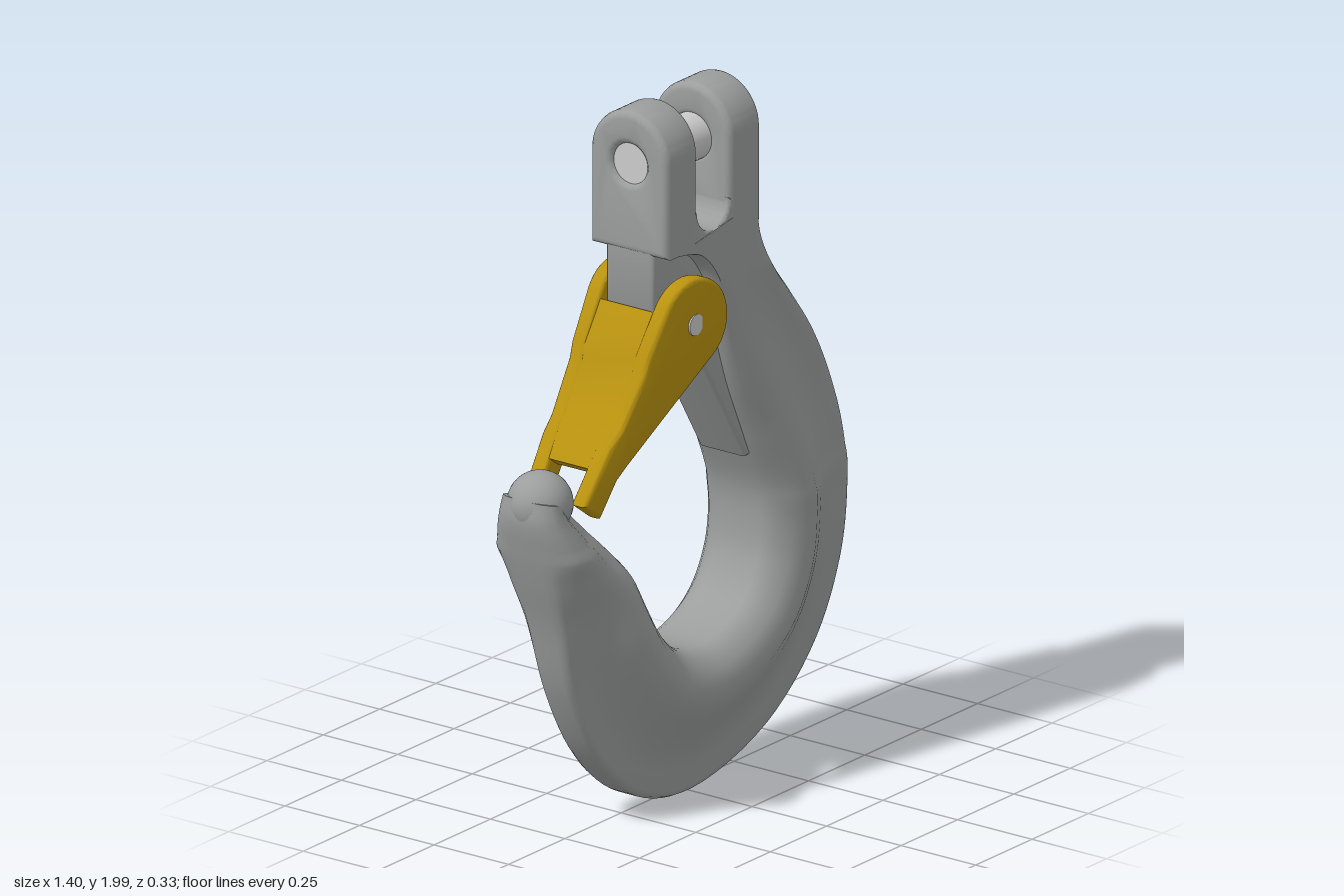
import * as THREE from 'three';
import { toCreasedNormals } from 'three/addons/utils/BufferGeometryUtils.js';

const steel = new THREE.MeshStandardMaterial({ color: 0x9c9e9e });
const pinSteel = new THREE.MeshStandardMaterial({ color: 0xcccccc });
const yellow = new THREE.MeshStandardMaterial({ color: 0xb8920f });

function add(group, name, geometry, material) {
  const mesh = new THREE.Mesh(geometry, material);
  mesh.name = name;
  group.add(mesh);
  return mesh;
}

const shapeOf = (pts) => new THREE.Shape(pts.map(([x, y]) => new THREE.Vector2(x, y)));

// Extrusion centred on z = 0, with rounded edges inside the outline
function slab(shape, thickness, bevel) {
  const g = new THREE.ExtrudeGeometry(shape, {
    depth: thickness - 2 * bevel, bevelEnabled: bevel > 0, bevelThickness: bevel,
    bevelSize: bevel, bevelOffset: -bevel, bevelSegments: 3, curveSegments: 20,
  });
  return g.translate(0, 0, bevel - thickness / 2);
}

// Cross-section half widths, from inner edge to outer edge
const US = [0, 0.015, 0.05, 0.12, 0.22, 0.33, 0.45, 0.57, 0.7, 0.83, 0.95, 0.985, 1];
const PROFILES = [
  [0.8, 0.92, 1, 1, 1, 1, 1, 1, 1, 1, 1, 0.93, 0.8],                              // shank
  [0.45, 0.58, 0.72, 0.88, 1, 0.98, 0.8, 0.6, 0.42, 0.33, 0.31, 0.28, 0.2],       // bowl
  [0.25, 0.3, 0.35, 0.42, 0.55, 0.75, 0.92, 1, 1, 0.95, 0.7, 0.5, 0.3],           // tip
];
// Stations: inner x, y, outer x, y, half thickness, profile (0 shank, 1 bowl, 2 tip)
const STATIONS = [
  [-0.2, 1.60, 0.2, 1.66, 0.13, 0],
  [-0.08, 1.575, 0.21, 1.56, 0.13, 0],
  [0.0, 1.49, 0.26, 1.46, 0.13, 0],
  [0.05, 1.33, 0.36, 1.35, 0.13, 0.2],
  [0.11, 1.15, 0.52, 1.17, 0.14, 0.65],
  [0.19, 0.96, 0.64, 0.97, 0.15, 0.95],
  [0.26, 0.8, 0.69, 0.8, 0.16, 1],
  [0.27, 0.7, 0.7, 0.68, 0.16, 1],
  [0.255, 0.6, 0.67, 0.49, 0.16, 1],
  [0.2, 0.51, 0.56, 0.28, 0.16, 1],
  [0.11, 0.455, 0.34, 0.1, 0.16, 1],
  [0, 0.43, 0, 0.01, 0.16, 1],
  [-0.12, 0.46, -0.22, 0.055, 0.16, 1],
  [-0.2, 0.53, -0.4, 0.2, 0.16, 1],
  [-0.26, 0.62, -0.53, 0.42, 0.16, 1.05],
  [-0.31, 0.73, -0.6, 0.65, 0.155, 1.35],
  [-0.37, 0.8, -0.645, 0.78, 0.15, 1.7],
  [-0.45, 0.88, -0.675, 0.88, 0.13, 2],
  [-0.53, 0.96, -0.695, 0.97, 0.1, 2],
  [-0.56, 1.0, -0.69, 1.03, 0.085, 2],
];

function hookGeometry() {
  const curve = (f) => new THREE.CatmullRomCurve3(STATIONS.map((s) => new THREE.Vector3(...f(s))));
  const inner = curve((s) => [s[0], s[1], 0]);
  const outer = curve((s) => [s[2], s[3], 0]);
  const form = curve((s) => [s[4], s[5], 0]);
  const rows = 114, n = US.length, ring = 2 * n;
  const pos = [], idx = [];
  for (let i = 0; i <= rows; i++) {
    const a = inner.getPoint(i / rows), b = outer.getPoint(i / rows), f = form.getPoint(i / rows);
    const s = THREE.MathUtils.clamp(f.y, 0, 2), k = Math.min(1, Math.floor(s));
    for (let j = 0; j < ring; j++) {
      const m = j < n ? j : ring - 1 - j;
      const w = f.x * THREE.MathUtils.lerp(PROFILES[k][m], PROFILES[k + 1][m], s - k);
      const p = a.clone().lerp(b, US[m]);
      pos.push(p.x, p.y, j < n ? w : -w);
    }
  }
  for (let i = 0; i < rows; i++) for (let j = 0; j < ring; j++) {
    const a = i * ring + j, b = i * ring + (j + 1) % ring;
    idx.push(a, a + ring, b, b, a + ring, b + ring);
  }
  const last = rows * ring;
  for (let j = 0; j < n - 1; j++) { // end caps
    const k = ring - 1 - j;
    idx.push(j, j + 1, k, j + 1, k - 1, k);
    idx.push(last + j, last + k, last + j + 1, last + j + 1, last + k, last + k - 1);
  }
  const g = new THREE.BufferGeometry();
  g.setAttribute('position', new THREE.Float32BufferAttribute(pos, 3));
  g.setIndex(idx);
  return toCreasedNormals(g, 0.9);
}

// Outer half width of the latch, narrowing toward its nose
const latchHalf = (x) => 0.16 + 0.1 * x;
function bendZ(g, rule) {
  const p = g.attributes.position;
  for (let i = 0; i < p.count; i++) p.setZ(i, rule(p.getX(i), p.getZ(i)));
  g.computeVertexNormals();
  return toCreasedNormals(g, 0.6);
}

function buildLatch() {
  const latch = new THREE.Group();
  latch.name = 'latch';
  const cheek = new THREE.Shape();
  cheek.moveTo(-0.05, 1.285);
  cheek.absarc(-0.115, 1.395, 0.13, -1.04, 2.5, false);
  cheek.lineTo(-0.3, 1.345);
  [[-0.315, 1.3], [-0.405, 1.17], [-0.45, 1.13], [-0.55, 0.99], [-0.485, 0.94], [-0.42, 1.03], [-0.38, 1.06]]
    .forEach(([x, y]) => cheek.lineTo(x, y));
  cheek.closePath();
  for (const side of [1, -1]) {
    add(latch, side > 0 ? 'frontCheek' : 'backCheek',
      bendZ(slab(cheek, 0.05, 0.012), (x, z) => z + side * (latchHalf(x) - 0.025)), yellow);
  }
  // Bridge joining the cheeks along their upper edge
  const bridge = shapeOf([[-0.225, 1.45], [-0.3, 1.342], [-0.312, 1.302], [-0.402, 1.172], [-0.447, 1.13],
    [-0.485, 1.075], [-0.45, 1.05], [-0.4, 1.1], [-0.27, 1.27], [-0.2, 1.42]]);
  add(latch, 'latchBridge', bendZ(slab(bridge, 2, 0), (x, z) => z * (latchHalf(x) - 0.012)), yellow);
  // Pivot pin
  const pin = add(latch, 'latchPin', new THREE.CylinderGeometry(0.03, 0.03, 0.302, 24), pinSteel);
  pin.rotation.x = Math.PI / 2;
  pin.position.set(-0.115, 1.395, 0);
  return latch;
}

function buildClevis() {
  const clevis = new THREE.Group();
  clevis.name = 'clevis';
  // Two round-topped lugs with pin holes
  const lug = new THREE.Shape();
  lug.moveTo(-0.13, 1.6);
  lug.lineTo(0.13, 1.6);
  lug.absarc(0, 1.87, 0.13, 0, Math.PI, false);
  lug.closePath();
  lug.holes.push(new THREE.Path().absarc(0, 1.85, 0.056, 0, Math.PI * 2, true));
  for (const [name, x] of [['rightLug', -0.149], ['leftLug', 0.131]]) {
    const g = toCreasedNormals(slab(lug, 0.142, 0.02), 0.6).rotateY(Math.PI / 2);
    add(clevis, name, g, steel).position.x = x;
  }
  // Rounded floor of the slot
  const floor = new THREE.Shape();
  floor.moveTo(-0.2, 1.605);
  floor.lineTo(0.19, 1.58);
  floor.lineTo(0.19, 1.7);
  floor.lineTo(0.061, 1.7);
  floor.absarc(-0.009, 1.7, 0.07, 0, Math.PI, true);
  floor.lineTo(-0.2, 1.7);
  floor.closePath();
  add(clevis, 'slotFloor', toCreasedNormals(slab(floor, 0.258, 0.01), 0.6), steel);
  // Load pin
  const pin = add(clevis, 'loadPin', new THREE.CylinderGeometry(0.067, 0.067, 0.395, 32), pinSteel);
  pin.rotation.z = Math.PI / 2;
  pin.position.set(-0.009, 1.85, 0);
  return clevis;
}

export function createModel() {
  const model = new THREE.Group();
  model.name = 'clevisHook';
  add(model, 'hookBody', hookGeometry(), steel);
  // Rounded nose at the hook tip
  const nose = add(model, 'hookNose', new THREE.SphereGeometry(0.09, 32, 20), steel);
  nose.position.set(-0.61, 1.0, 0);
  // Thinner web that carries the latch
  const web = shapeOf([[-0.215, 1.63], [-0.215, 1.42], [-0.17, 1.34], [-0.1, 1.3], [-0.035, 1.3],
    [0.2, 0.91], [0.3, 0.92], [0.15, 1.35], [0.08, 1.62]]);
  add(model, 'latchWeb', toCreasedNormals(slab(web, 0.16, 0.012), 0.6), steel);
  model.add(buildClevis(), buildLatch());
  return model;
}
